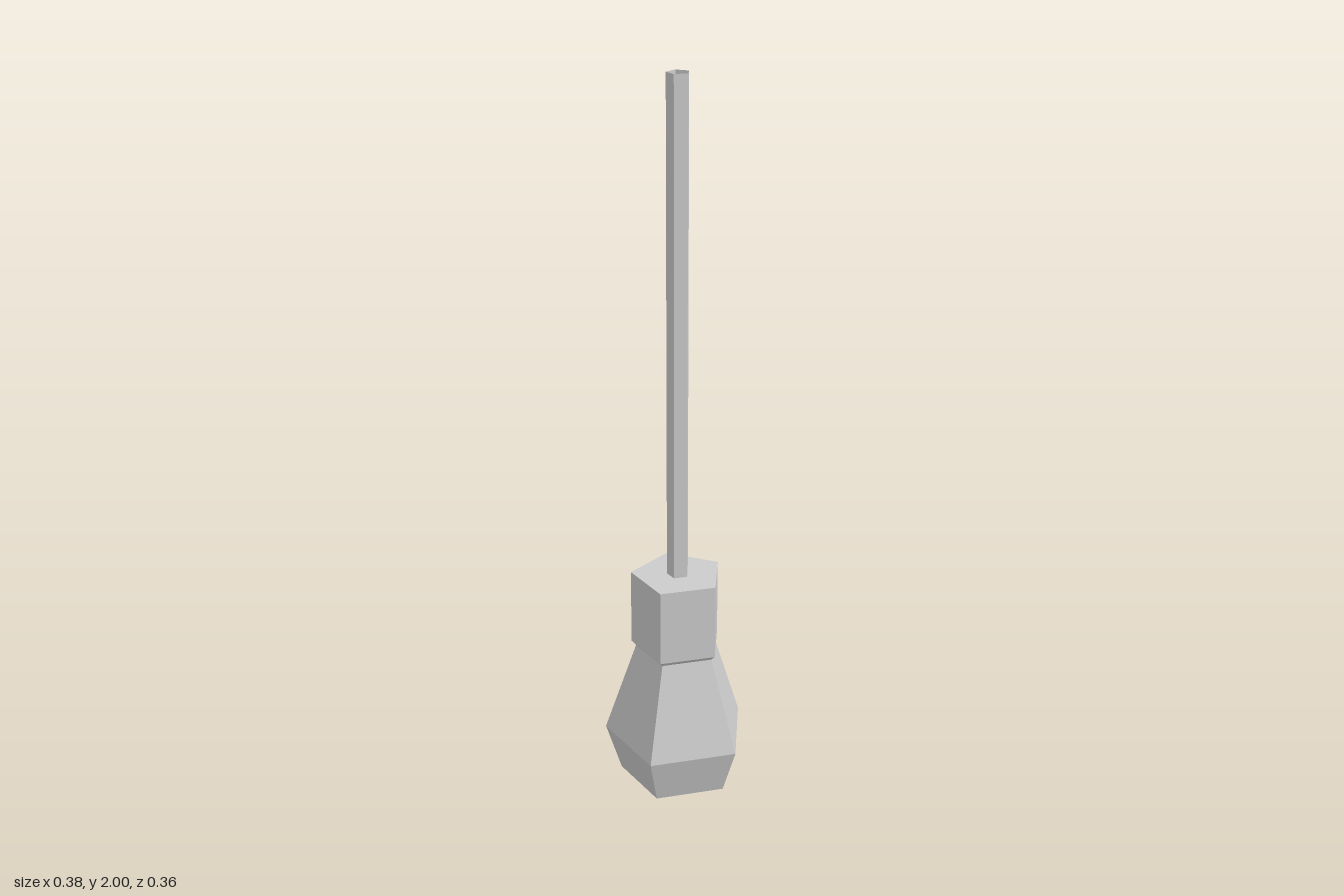
import * as THREE from 'three';

const SIDES = 5;

// Five-sided faceted solid from a [radius, height] profile, listed bottom to top
function pentagonal(name, profile, side = THREE.FrontSide) {
  const points = profile.map(([r, y]) => new THREE.Vector2(r, y));
  const geometry = new THREE.LatheGeometry(points, SIDES, Math.PI);
  const material = new THREE.MeshStandardMaterial({ color: 0xcccccc, flatShading: true, side });
  const mesh = new THREE.Mesh(geometry, material);
  mesh.name = name;
  return mesh;
}

export function createModel() {
  const model = new THREE.Group();
  model.name = 'hangingBulb';

  // Glass bulb: pointed base, widest low down, tapering to the neck
  const bulb = pentagonal('bulb', [[0, 0.005], [0.158, 0.07], [0.2, 0.2], [0.114, 0.46]]);

  // Socket with a small bevel where it meets the bulb
  const socket = pentagonal('socket', [[0.114, 0.46], [0.126, 0.472], [0.126, 0.68], [0, 0.68]]);

  // Cord: an open tube rising from the socket
  const cord = pentagonal('cord', [[0.03, 0.68], [0.03, 2]], THREE.DoubleSide);

  model.add(bulb, socket, cord);

  // A pentagon's depth is uneven about its axis, so shift it to centre
  model.position.z = 0.019;
  const root = new THREE.Group();
  root.name = 'pendantLamp';
  root.add(model);
  return root;
}
